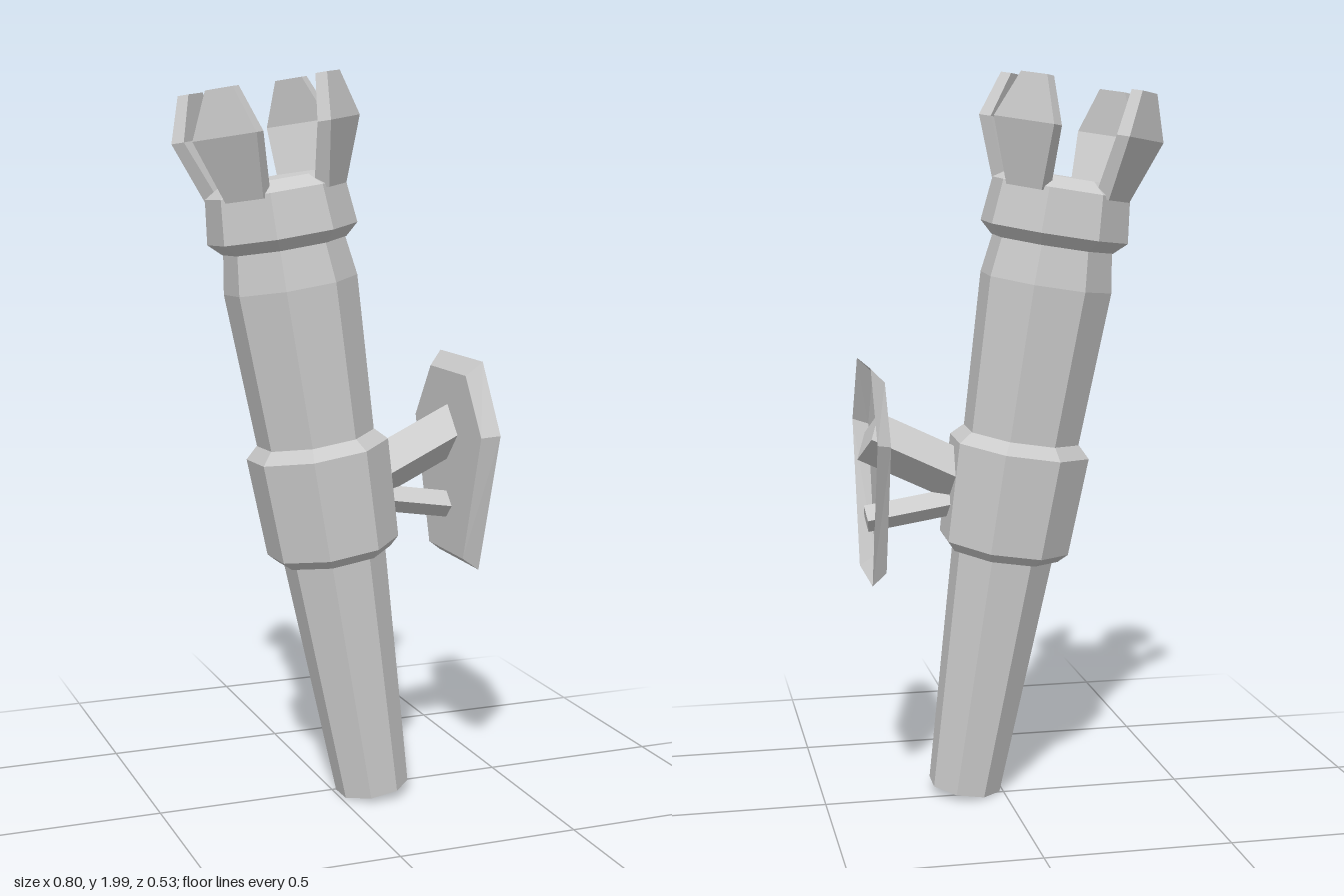
import * as THREE from 'three';

const grey = new THREE.MeshStandardMaterial({ color: 0xcccccc, flatShading: true });
const thin = new THREE.MeshStandardMaterial({ color: 0xcccccc, flatShading: true, side: THREE.DoubleSide });

function part(name, geometry, material = grey) {
  const mesh = new THREE.Mesh(geometry, material);
  mesh.name = name;
  return mesh;
}

// Eight-sided turned part; rings are [apothem, height] from bottom to top
function octagonal(name, rings) {
  const points = rings.map(([a, y]) => new THREE.Vector2(a / Math.cos(Math.PI / 8), y));
  return part(name, new THREE.LatheGeometry(points, 8, Math.PI / 8));
}

// Bent prong: a box whose three levels are given width, inner radius, outer radius and height
function prongGeometry() {
  const levels = [
    { w: 0.11, inner: 0.14, outer: 0.183, y: 1.675 },
    { w: 0.185, inner: 0.196, outer: 0.234, y: 1.843 },
    { w: 0.08, inner: 0.187, outer: 0.22, y: 1.964 },
  ];
  const geometry = new THREE.BoxGeometry(1, 1, 1, 1, 2, 1);
  const p = geometry.attributes.position;
  for (let i = 0; i < p.count; i++) {
    const l = levels[Math.round((p.getY(i) + 0.5) * 2)];
    p.setXYZ(i, p.getX(i) * l.w, l.y, p.getZ(i) > 0 ? l.outer : l.inner);
  }
  geometry.computeVertexNormals();
  return geometry;
}

// Square bar set on edge, running between two points
function bar(name, from, to, radius) {
  const a = new THREE.Vector3(...from), b = new THREE.Vector3(...to);
  const mesh = part(name, new THREE.CylinderGeometry(radius, radius, a.distanceTo(b), 4));
  mesh.position.copy(a).add(b).multiplyScalar(0.5);
  mesh.quaternion.setFromUnitVectors(new THREE.Vector3(0, 1, 0), b.sub(a).normalize());
  return mesh;
}

// Shallow six-sided dish: a flat floor with a flared rim
function dishGeometry() {
  const z0 = 0.007;
  const hexagon = (x, rows) => [
    ...rows.map(([y, half]) => [x, y, z0 + half]),
    ...[...rows].reverse().map(([y, half]) => [x, y, z0 - half]),
  ];
  const floor = hexagon(0.34, [[0.675, 0.115], [1.03, 0.222], [1.185, 0.118]]);
  const rim = hexagon(0.38, [[0.645, 0.132], [1.04, 0.257], [1.225, 0.14]]);
  const centre = [0.34, 0.95, z0];
  const v = [];
  for (let i = 0; i < 6; i++) {
    const j = (i + 1) % 6;
    v.push(...centre, ...floor[j], ...floor[i]);
    v.push(...floor[i], ...floor[j], ...rim[j], ...floor[i], ...rim[j], ...rim[i]);
  }
  const geometry = new THREE.BufferGeometry();
  geometry.setAttribute('position', new THREE.Float32BufferAttribute(v, 3));
  geometry.computeVertexNormals();
  return geometry;
}

export function createModel() {
  const model = new THREE.Group();
  model.name = 'wallTorch';

  // Leaning torch
  const torch = new THREE.Group();
  torch.name = 'torch';
  torch.position.set(0.104, 0.023, 0.042);
  torch.quaternion.setFromUnitVectors(
    new THREE.Vector3(0, 1, 0), new THREE.Vector3(-0.153, 1, -0.042).normalize());
  torch.add(
    octagonal('handle', [[0, 0], [0.094, 0], [0.133, 0.72]]),
    octagonal('collar', [[0.125, 0.68], [0.145, 0.68], [0.168, 0.705], [0.18, 0.977], [0.15, 1.009], [0.1, 1.009]]),
    octagonal('shaft', [[0.148, 1.0], [0.167, 1.43], [0.15, 1.55]]),
    octagonal('head', [[0.13, 1.535], [0.155, 1.535], [0.187, 1.567], [0.174, 1.686], [0.13, 1.716], [0, 1.716]]),
  );

  // Four prongs on the diagonals of the head
  const geometry = prongGeometry();
  for (let i = 0; i < 4; i++) {
    const prong = part('prong', geometry);
    prong.rotation.y = Math.PI / 4 + i * Math.PI / 2;
    torch.add(prong);
  }

  // Wall bracket
  const bracket = new THREE.Group();
  bracket.name = 'bracket';
  bracket.add(
    part('wallPlate', dishGeometry(), thin),
    bar('upperBar', [0.05, 0.876, 0.007], [0.37, 1.028, 0.007], 0.07),
    bar('lowerBar', [0.05, 0.855, 0.007], [0.378, 0.802, 0.007], 0.037),
  );

  model.add(torch, bracket);
  return model;
}
